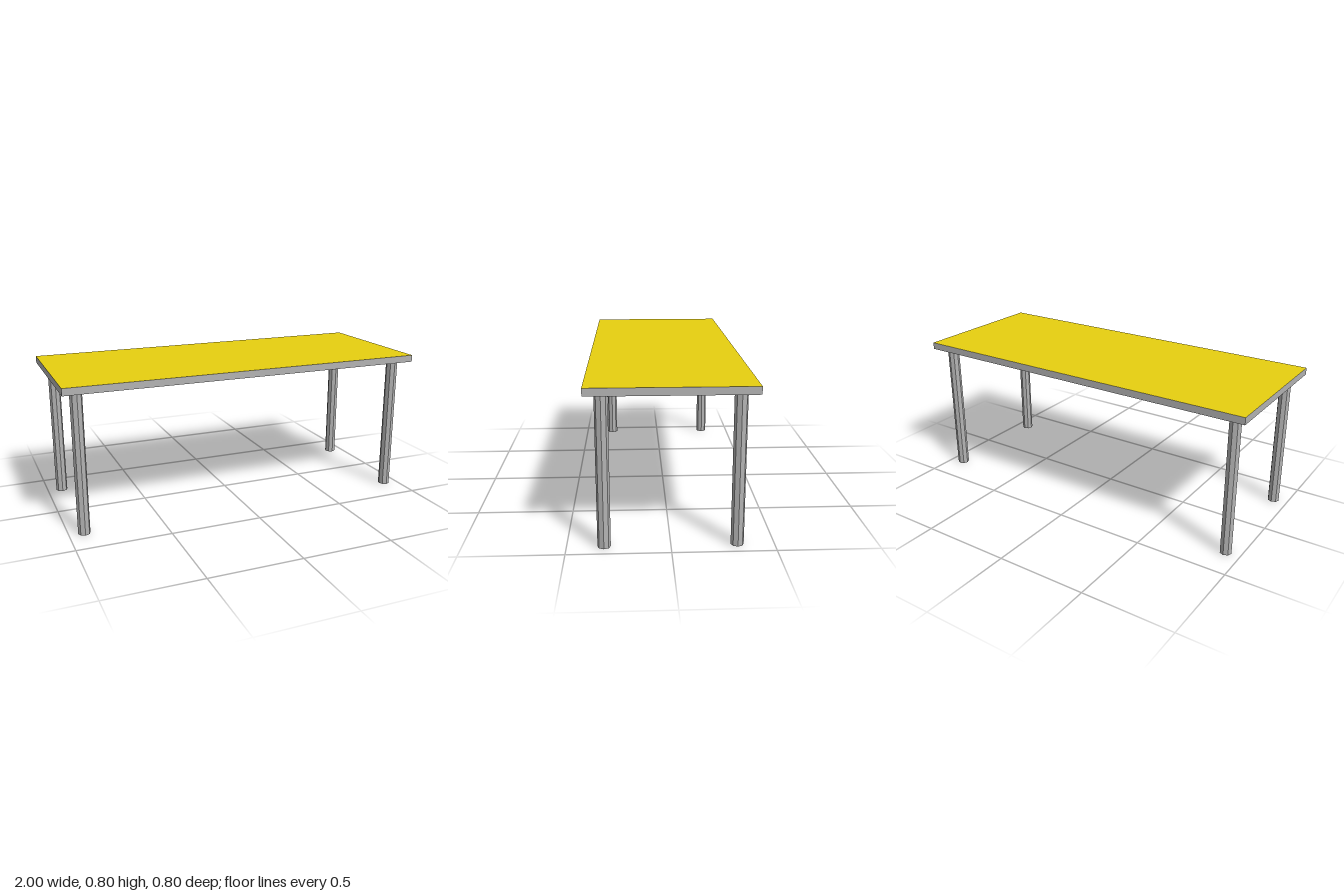
import * as THREE from 'three';

export function createModel() {
  const model = new THREE.Group();
  model.name = 'table';

  const grey = new THREE.MeshStandardMaterial({ color: 0xb3b3b3 });
  grey.name = 'grey metal';
  const yellow = new THREE.MeshStandardMaterial({ color: 0xebd310 });
  yellow.name = 'yellow surface';

  const height = 0.8, thickness = 0.038, legHeight = height - thickness;

  // Table top: grey slab whose upper face is yellow
  const top = new THREE.Mesh(
    new THREE.BoxGeometry(2, thickness, 0.8),
    [grey, grey, yellow, grey, grey, grey]
  );
  top.name = 'tableTop';
  top.position.y = height - thickness / 2;
  model.add(top);

  // Four octagonal legs with crisp facets
  const legGeometry = new THREE.CylinderGeometry(0.032, 0.032, legHeight, 8).toNonIndexed();
  legGeometry.computeVertexNormals();
  for (const [side, x] of [['Left', 0.92], ['Right', -0.92]]) {
    for (const [end, z] of [['front', 0.32], ['back', -0.32]]) {
      const leg = new THREE.Mesh(legGeometry, grey);
      leg.name = `${end}${side}Leg`;
      leg.position.set(x, legHeight / 2, z);
      model.add(leg);
    }
  }

  return model;
}
